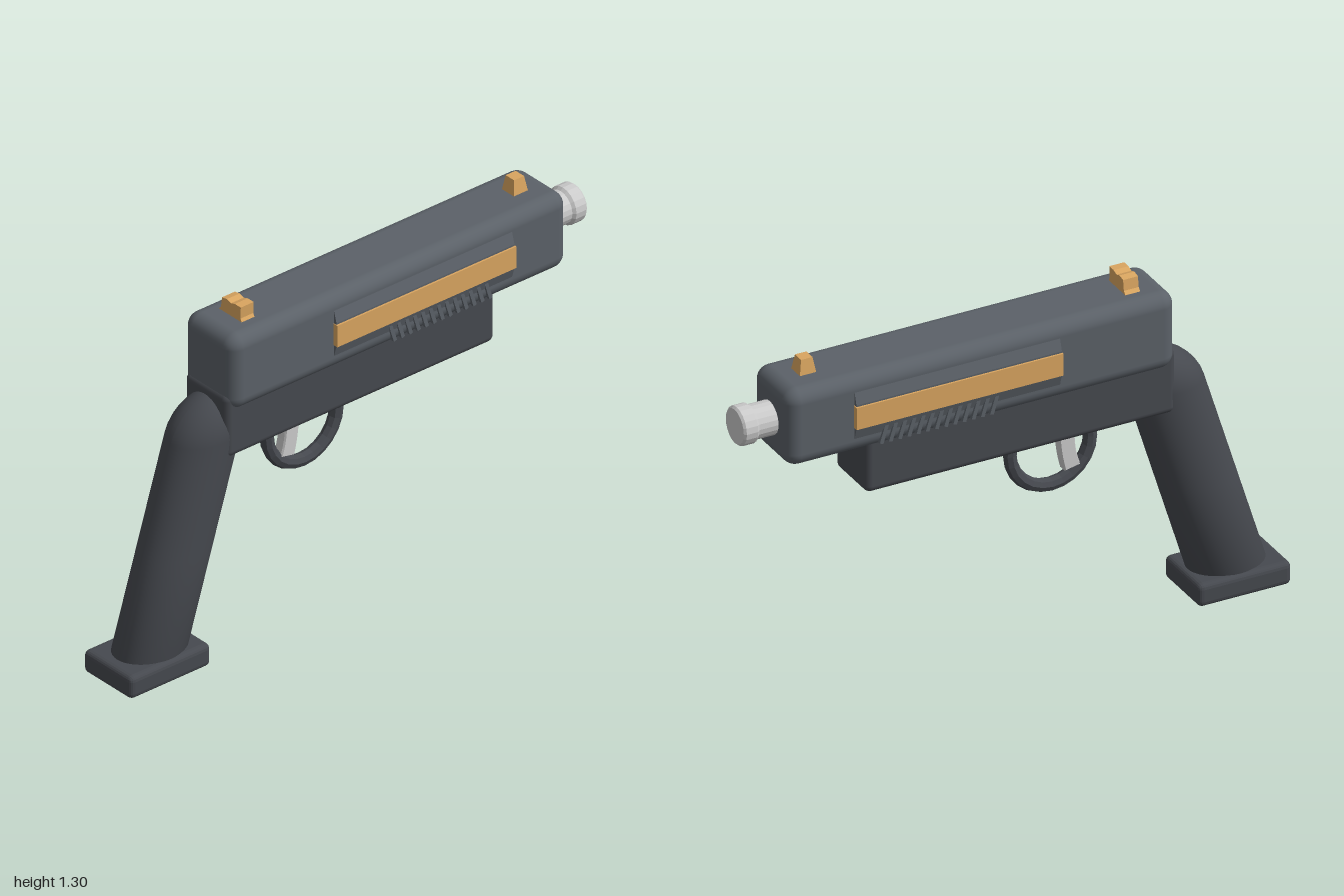
import * as THREE from 'three';
import { RoundedBoxGeometry } from 'three/addons/geometries/RoundedBoxGeometry.js';

const mat = (color, flatShading = false) => {
  const m = new THREE.MeshStandardMaterial({ color });
  m.flatShading = flatShading;
  return m;
};

export function createModel() {
  const group = new THREE.Group();
  const slideGrey = mat(0x5b6168), bodyGrey = mat(0x46494f), bodyFlat = mat(0x46494f, true);
  const silver = mat(0xcccccc), gold = mat(0xd9a560, true);

  const add = (name, geometry, material, x = 0, y = 0, z = 0) => {
    const mesh = new THREE.Mesh(geometry, material);
    mesh.name = name;
    mesh.position.set(x, y, z);
    group.add(mesh);
    return mesh;
  };

  // Extrudes a closed outline of [x, y] points along z, centred
  const prism = (points, depth) => {
    const shape = new THREE.Shape(points.map(([x, y]) => new THREE.Vector2(x, y)));
    return new THREE.ExtrudeGeometry(shape, { depth, bevelEnabled: false }).translate(0, 0, -depth / 2);
  };

  // Slide and the frame below it
  add('slide', new RoundedBoxGeometry(0.255, 0.285, 1.44, 4, 0.05), slideGrey, 0, 1.108, -0.15);
  add('frame', new RoundedBoxGeometry(0.216, 0.24, 1.15, 3, 0.025), bodyGrey, 0, 0.91, 0.003);

  // Leaning oval grip with a domed top, sheared back towards its foot
  const profile = [new THREE.Vector2(0, 0.08), new THREE.Vector2(1, 0.08), new THREE.Vector2(1, 0.47), new THREE.Vector2(1, 0.86)];
  for (let i = 1; i <= 8; i++) {
    const a = (i / 8) * Math.PI / 2;
    profile.push(new THREE.Vector2(Math.max(Math.cos(a), 0), 0.86 + 0.14 * Math.sin(a)));
  }
  const gripGeo = new THREE.LatheGeometry(profile, 40).scale(0.108, 1, 0.139);
  const p = gripGeo.attributes.position;
  for (let i = 0; i < p.count; i++) p.setZ(i, p.getZ(i) + 0.853 - 0.31 * p.getY(i));
  gripGeo.computeVertexNormals();
  add('grip', gripGeo, bodyGrey);

  // Foot plate and the shallow boss beneath it
  add('footPlate', new RoundedBoxGeometry(0.244, 0.085, 0.345, 2, 0.02), bodyFlat, 0, 0.085, 0.825);
  const boss = [[0, 0], [0.02, 0.002], [0.05, 0.013], [0.09, 0.033], [0.12, 0.046], [0.12, 0.06]];
  add('footBoss', new THREE.LatheGeometry(boss.map(([r, y]) => new THREE.Vector2(r, y)), 28).scale(0.85, 1, 1.1), bodyGrey, 0, 0, 0.8);

  // Barrel with a slightly flared muzzle
  const barrel = [[0, -0.1], [0.06, -0.1], [0.06, 0.09], [0.069, 0.1], [0.069, 0.142], [0.062, 0.15], [0, 0.15]];
  const barrelGeo = new THREE.LatheGeometry(barrel.map(([r, y]) => new THREE.Vector2(r, y)), 20).rotateX(-Math.PI / 2);
  add('barrel', barrelGeo, mat(0xcccccc, true), 0, 1.108, -0.85);

  // Trigger guard ring and curved trigger
  add('triggerGuard', new THREE.TorusGeometry(0.149, 0.024, 8, 24).rotateY(Math.PI / 2), bodyFlat, 0, 0.731, 0.166);
  const triggerShape = new THREE.Shape();
  triggerShape.moveTo(-0.19, 0.82);
  triggerShape.quadraticCurveTo(-0.195, 0.7, -0.215, 0.63);
  triggerShape.lineTo(-0.265, 0.64);
  triggerShape.quadraticCurveTo(-0.235, 0.72, -0.25, 0.82);
  const triggerGeo = new THREE.ExtrudeGeometry(triggerShape, {
    depth: 0.03, bevelThickness: 0.006, bevelSize: 0.004, bevelSegments: 1, curveSegments: 6,
  }).translate(0, 0, -0.015).rotateY(Math.PI / 2);
  add('trigger', triggerGeo, silver);

  // Side rails, gold inlays and slanted ridges on both sides
  const railOutline = [[-0.1, 0.98], [0.12, 1.0], [0.14, 1.065], [0.14, 1.155], [0.125, 1.205], [-0.1, 1.205]];
  for (const side of [1, -1]) {
    const label = side > 0 ? 'left' : 'right';
    const outline = railOutline.map(([x, y]) => [x * side, y]);
    add(label + 'Rail', prism(outline, 0.76), slideGrey, 0, 0, -0.245);
    add(label + 'Inlay', new THREE.BoxGeometry(0.02, 0.082, 0.765), gold, side * 0.137, 1.108, -0.245);
    for (let i = 0; i < 13; i++) {
      const ridge = add(label + 'Ridge', new THREE.BoxGeometry(0.012, 0.075, 0.014), slideGrey,
        side * 0.129, 1.02, -0.11 - i * 0.034);
      ridge.rotation.x = 0.3;
    }
  }

  // Sights: a wide notched rear one and a narrow tapered front one
  const rear = [[-0.07, 1.24], [0.06, 1.24], [0.048, 1.262], [0.05, 1.305], [0.02, 1.305], [0, 1.298],
    [-0.02, 1.305], [-0.045, 1.3], [-0.05, 1.262]];
  add('rearSight', prism([...rear], 0.055), gold, 0, 0, 0.44);
  const front = new THREE.CylinderGeometry(0.03, 0.045, 0.065, 4).rotateY(Math.PI / 4);
  add('frontSight', front, gold, 0, 1.272, -0.745);

  return group;
}
